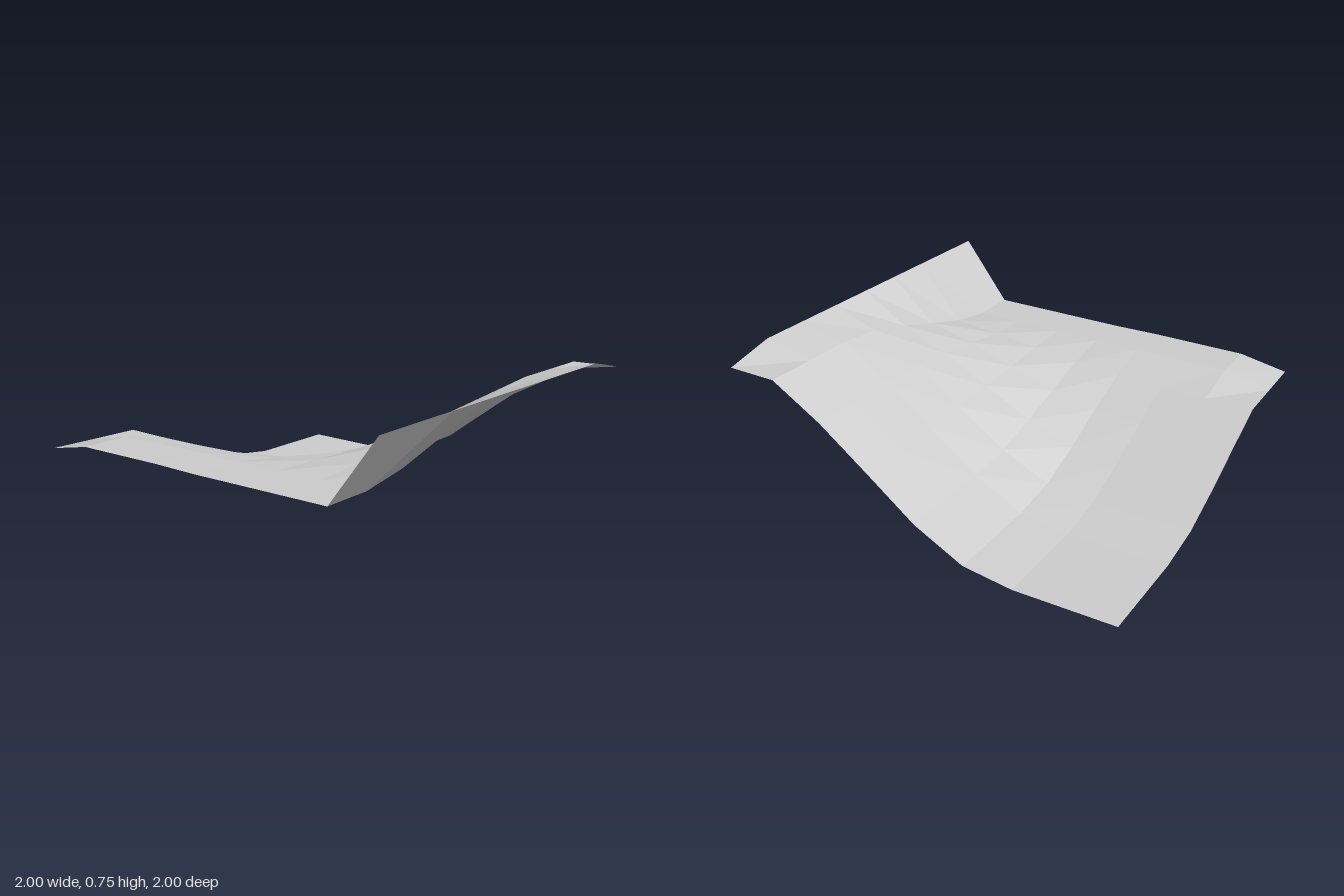
import * as THREE from 'three';

const N = 8; // cells per side

// Heights along the two side edges, from back (z = -1) to front (z = 1)
const rightEdge = [0.395, 0.395, 0.4, 0.405, 0.405, 0.41, 0.415, 0.42, 0.75];
const leftEdge = [0, 0, 0, 0.035, 0.165, 0.355, 0.54, 0.69, 0.75];
// Blend from the right edge (x = -1) to the left edge (x = 1)
const blend = [0, 0, 0.15, 0.41, 0.68, 0.91, 1, 1, 1];

function height(i, j) {
  // Two dipped corners on the outer rim
  if (j === 0 && i < 2) return 0.345 - 0.005 * i;
  if (j === N && i === N) return 0.695;
  return THREE.MathUtils.lerp(rightEdge[j], leftEdge[j], blend[i]);
}

export function createModel() {
  const group = new THREE.Group();
  group.name = 'terrainTile';

  const positions = [];
  const indices = [];
  for (let j = 0; j <= N; j++) {
    for (let i = 0; i <= N; i++) {
      positions.push((2 * i) / N - 1, height(i, j), (2 * j) / N - 1);
    }
  }
  // Each cell is split from its back right to its front left corner
  for (let j = 0; j < N; j++) {
    for (let i = 0; i < N; i++) {
      const a = j * (N + 1) + i;
      const b = a + N + 1;
      indices.push(a, b, b + 1, a, b + 1, a + 1);
    }
  }

  const indexed = new THREE.BufferGeometry();
  indexed.setAttribute('position', new THREE.Float32BufferAttribute(positions, 3));
  indexed.setIndex(indices);
  const geometry = indexed.toNonIndexed(); // faceted normals
  geometry.computeVertexNormals();

  const material = new THREE.MeshStandardMaterial({
    color: 0xcccccc, flatShading: true, side: THREE.DoubleSide,
  });
  material.name = 'light grey';

  const surface = new THREE.Mesh(geometry, material);
  surface.name = 'slopeSurface';
  group.add(surface);
  return group;
}
